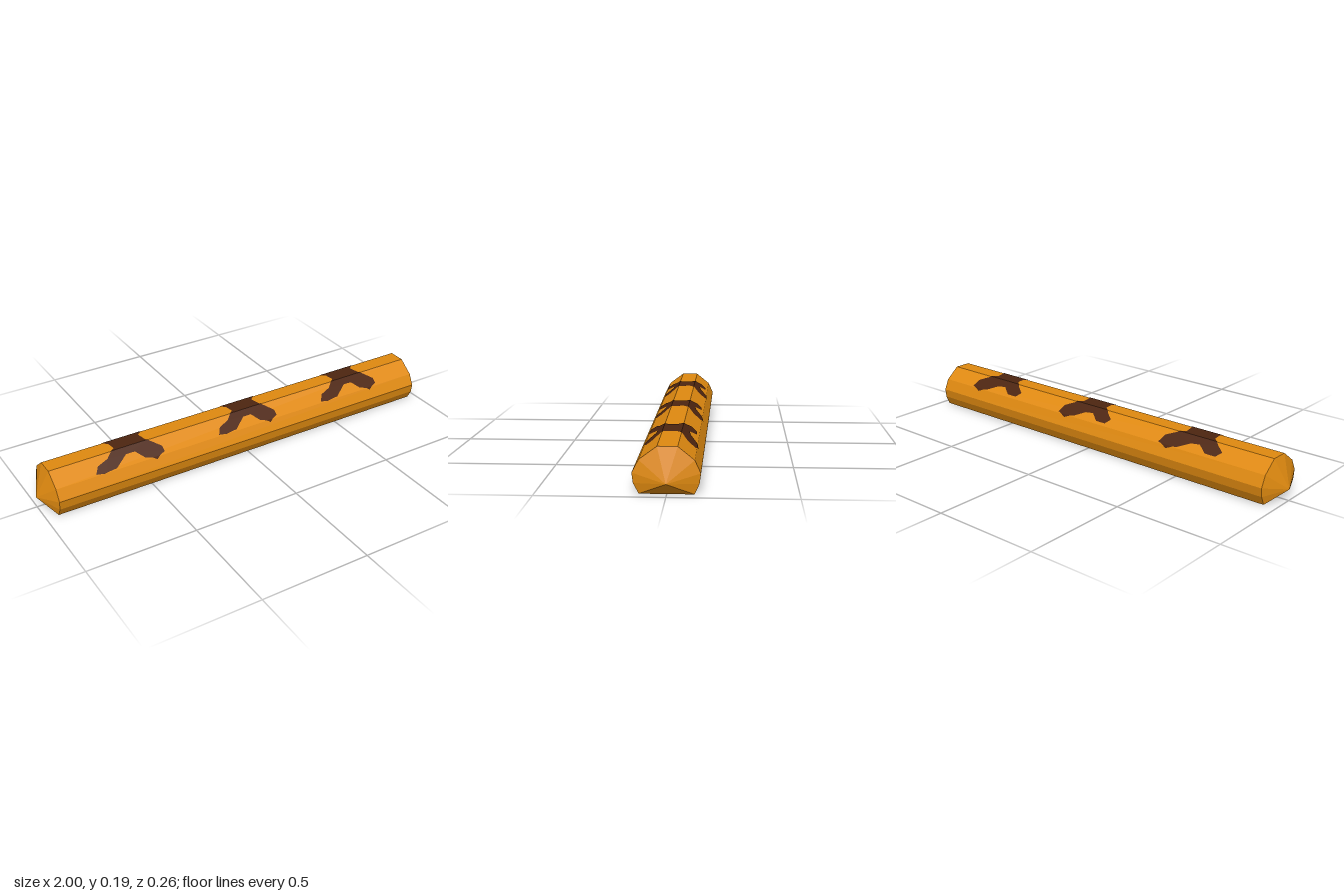
import * as THREE from 'three';
import { mergeGeometries } from 'three/addons/utils/BufferGeometryUtils.js';

const mat = (name, color, flatShading = false) => {
  const m = new THREE.MeshStandardMaterial({ color, flatShading });
  m.name = name;
  return m;
};

// Cross-section as [z, y], from the front bottom edge over the top to the back
const PROFILE = [
  [0.105, 0.002], [0.127, 0.043], [0.132, 0.083], [0.106, 0.133], [0.036, 0.185],
  [-0.042, 0.185], [-0.106, 0.133], [-0.129, 0.083], [-0.124, 0.043], [-0.105, 0.002],
];
const X0 = -0.945, X1 = 0.957;

// Cross-shaped mark as [x, z] around its own centre
const CROSS = [
  [-0.187, 0.102], [-0.15, 0.107], [-0.09, 0.102], [-0.027, 0.064], [0.016, 0.064], [0.048, 0.096],
  [0.1, 0.112], [0.144, 0.096], [0.144, 0.075], [0.086, 0.032], [0.075, -0.021], [0.107, -0.048],
  [0.155, -0.07], [0.17, -0.102], [0.123, -0.112], [0.07, -0.102], [0.016, -0.075], [-0.027, -0.07],
  [-0.07, -0.096], [-0.123, -0.096], [-0.144, -0.075], [-0.107, -0.053], [-0.07, -0.021],
  [-0.064, 0.021], [-0.112, 0.059], [-0.166, 0.075],
];

// Fish-like patch on the underside as [x, z]
const FISH = [
  [0.238, 0.024], [0.193, 0.066], [0.127, 0.083], [0.056, 0.083], [-0.021, 0.077], [-0.09, 0.102],
  [-0.14, 0.097], [-0.216, 0.091], [-0.213, 0.059], [-0.172, 0.034], [-0.132, 0.021], [-0.144, -0.012],
  [-0.216, -0.072], [-0.192, -0.099], [-0.135, -0.063], [-0.074, -0.071], [-0.014, -0.08],
  [0.055, -0.102], [0.123, -0.094], [0.18, -0.059], [0.234, -0.026],
];

// Faceted bar with a shallow pointed cap at each end
function bodyGeometry() {
  const pos = [];
  const tri = (...pts) => pts.forEach((p) => pos.push(...p));
  const n = PROFILE.length;
  for (let i = 0; i < n; i++) {
    const [z, y] = PROFILE[i], [zn, yn] = PROFILE[(i + 1) % n];
    const a = [X0, y, z], b = [X1, y, z], c = [X1, yn, zn], d = [X0, yn, zn];
    tri(a, b, c);
    tri(a, c, d);
    tri([1, 0.05, 0], c, b);
    tri([-1, 0.05, 0], a, d);
  }
  const g = new THREE.BufferGeometry();
  g.setAttribute('position', new THREE.Float32BufferAttribute(pos, 3));
  g.computeVertexNormals();
  return g;
}

// Keep the part of a polygon where sign * (z - limit) >= 0
function clip(points, limit, sign) {
  const out = [];
  points.forEach((p, i) => {
    const q = points[(i + 1) % points.length];
    const dp = sign * (p[1] - limit), dq = sign * (q[1] - limit);
    if (dp >= 0) out.push(p);
    if (dp * dq < 0) {
      const t = dp / (dp - dq);
      out.push([p[0] + (q[0] - p[0]) * t, limit]);
    }
  });
  return out;
}

// Lay a flat outline over the upper facets, one piece for each facet
function drape(outline) {
  const pieces = [];
  for (let i = 2; i < 7; i++) {
    const [za, ya] = PROFILE[i], [zb, yb] = PROFILE[i + 1];
    const part = clip(clip(outline, za, -1), zb, 1);
    if (part.length < 3) continue;
    const shape = new THREE.Shape(part.map(([x, z]) => new THREE.Vector2(x, -z)));
    const g = new THREE.ShapeGeometry(shape).rotateX(-Math.PI / 2);
    const p = g.attributes.position;
    for (let k = 0; k < p.count; k++) {
      const t = (p.getZ(k) - za) / (zb - za);
      p.setY(k, ya + (yb - ya) * t + 0.002);
    }
    g.computeVertexNormals();
    pieces.push(g);
  }
  return mergeGeometries(pieces);
}

export function createModel() {
  const group = new THREE.Group();
  group.name = 'stick';
  const orange = mat('orange', 0xe08a10, true);
  const brown = mat('darkBrown', 0x4d2510);
  const grey = mat('grey', 0x535658);
  const add = (name, geometry, material) => {
    const m = new THREE.Mesh(geometry, material);
    m.name = name;
    group.add(m);
  };

  add('body', bodyGeometry(), orange);

  // Three crosses along the top: centre and stretch in x
  [[-0.572, 1], [0.025, 0.95], [0.6, 1]].forEach(([cx, s], i) => {
    add(`crossMark${i + 1}`, drape(CROSS.map(([x, z]) => [cx + x * s, z])), brown);
  });

  // Patch on the flat underside
  const fish = new THREE.Shape(FISH.map(([x, z]) => new THREE.Vector2(x, z)));
  add('undersidePatch', new THREE.ShapeGeometry(fish).rotateX(Math.PI / 2), grey);

  return group;
}
